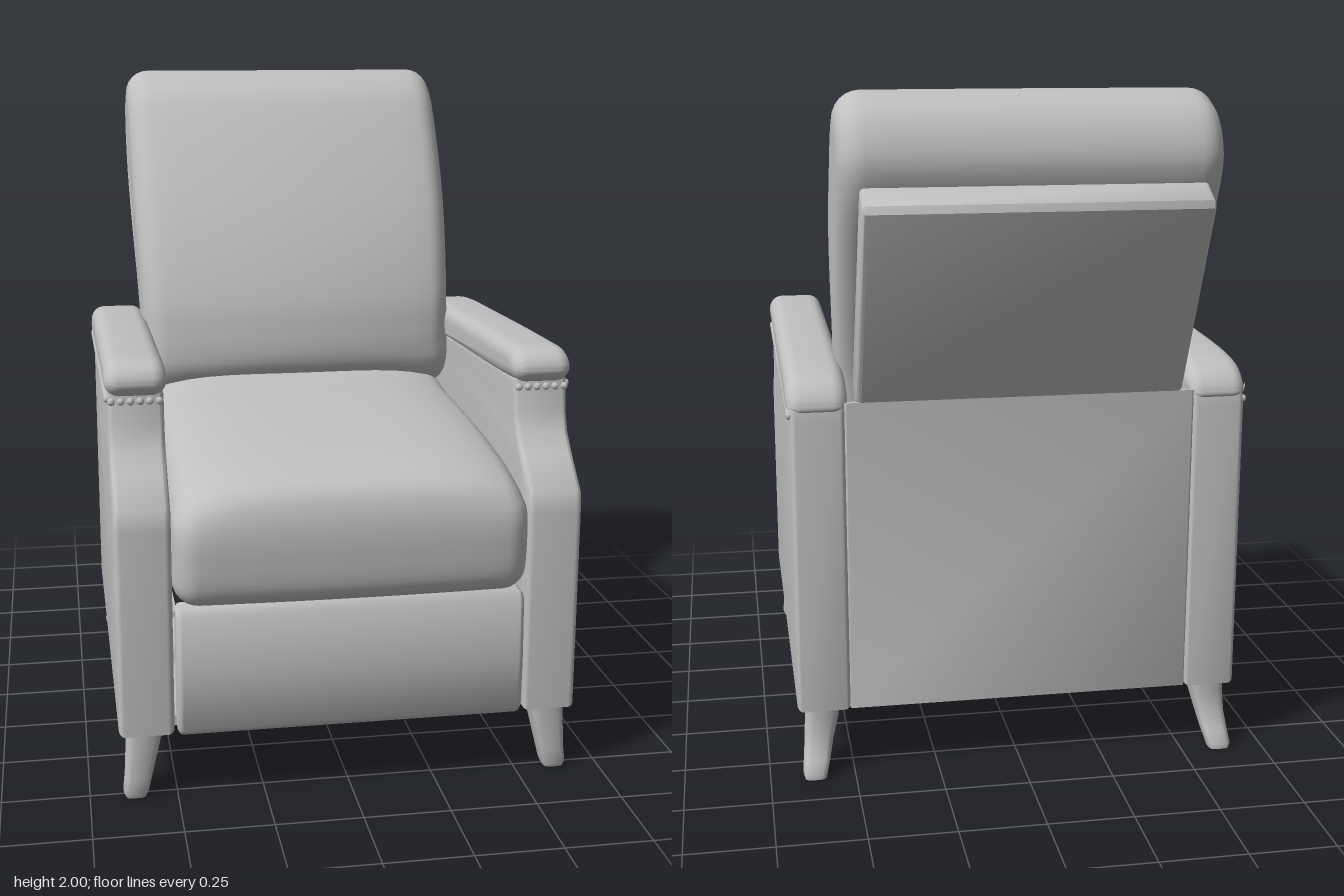
import * as THREE from 'three';
import { mergeGeometries, toCreasedNormals } from 'three/addons/utils/BufferGeometryUtils.js';

const upholstery = new THREE.MeshStandardMaterial({ color: 0xc0c0c0 });
upholstery.name = 'grey upholstery';

function add(parent, name, geometry) {
  const mesh = new THREE.Mesh(geometry, upholstery);
  mesh.name = name;
  parent.add(mesh);
  return mesh;
}

// Extrude a [z, y] side profile across x with rounded edges, then bend it by a rule
function pad(profile, width, bevel, { smooth = 0, steps = 1, rule } = {}) {
  let pts = profile.map(([z, y]) => new THREE.Vector3(z, y, 0));
  if (smooth) pts = new THREE.CatmullRomCurve3(pts, true, 'centripetal').getPoints(smooth).slice(0, -1);
  const shape = new THREE.Shape(pts.map((p) => new THREE.Vector2(p.x, p.y)));
  const depth = width - 2 * bevel;
  const geo = new THREE.ExtrudeGeometry(shape, {
    depth, steps, bevelEnabled: true, bevelThickness: bevel, bevelSize: bevel, bevelOffset: -bevel, bevelSegments: 6,
  });
  geo.translate(0, 0, -depth / 2);
  geo.rotateY(-Math.PI / 2);
  if (rule) {
    const pos = geo.attributes.position;
    const v = new THREE.Vector3();
    for (let i = 0; i < pos.count; i++) {
      v.fromBufferAttribute(pos, i);
      rule(v);
      pos.setXYZ(i, v.x, v.y, v.z);
    }
  }
  return toCreasedNormals(geo, 0.7);
}

// Loft rounded-square sections [y, x, z, halfX, halfZ], listed from top to bottom
function leg(sections, side) {
  const n = 20, pos = [], idx = [];
  const soft = (t) => Math.sign(t) * Math.pow(Math.abs(t), 0.55);
  sections.forEach(([y, x, z, hx, hz]) => {
    for (let i = 0; i < n; i++) {
      const a = (i / n) * Math.PI * 2;
      pos.push(side * x + hx * soft(Math.cos(a)), y, z + hz * soft(Math.sin(a)));
    }
  });
  for (let r = 0; r < sections.length - 1; r++) {
    for (let i = 0; i < n; i++) {
      const a = r * n + i, b = r * n + ((i + 1) % n);
      idx.push(a, b, a + n, b, b + n, a + n);
    }
  }
  const base = (sections.length - 1) * n;
  for (let i = 1; i < n - 1; i++) idx.push(base, base + i, base + i + 1);
  const geo = new THREE.BufferGeometry();
  geo.setAttribute('position', new THREE.Float32BufferAttribute(pos, 3));
  geo.setIndex(idx);
  return toCreasedNormals(geo, 0.8);
}

function bar(parent, name, size, at, tilt = 0) {
  const mesh = add(parent, name, new THREE.BoxGeometry(...size));
  mesh.position.set(...at);
  mesh.rotation.x = tilt;
}

export function createModel() {
  const chair = new THREE.Group();
  chair.name = 'recliner armchair';

  // Seat cushion, crowned across its width
  add(chair, 'seatCushion', pad([
    [0.8, 0.575], [0.86, 0.61], [0.882, 0.72], [0.875, 0.85], [0.84, 0.915], [0.72, 0.96],
    [0.4, 1.0], [0, 1.02], [-0.34, 1.02], [-0.4, 0.8], [-0.34, 0.58], [0.2, 0.575],
  ], 1.01, 0.07, {
    smooth: 72, steps: 14,
    rule: (v) => {
      const e = (v.x / 0.5) ** 2;
      if (v.y > 0.75) v.y -= 0.06 * e * e * Math.min(1, (v.y - 0.75) / 0.15);
      if (v.z > 0.5) v.z -= 0.012 * e;
    },
  }));

  // Leaning back cushion with a full rounded top and bowed front
  add(chair, 'backCushion', pad([
    [-0.09, 1.05], [-0.085, 1.2], [-0.115, 1.33], [-0.21, 1.56], [-0.38, 1.85], [-0.45, 1.935],
    [-0.55, 1.99], [-0.65, 1.993], [-0.75, 1.94], [-0.8, 1.84], [-0.79, 1.75],
    [-0.63, 1.47], [-0.46, 1.18], [-0.38, 1.0], [-0.2, 0.96],
  ], 1.06, 0.075, {
    smooth: 90, steps: 14,
    rule: (v) => {
      const e = (v.x / 0.53) ** 2;
      const front = v.z - (-0.28 - 0.5 * (v.y - 1.2));
      if (front > 0) v.z -= 0.05 * e * Math.min(1, front / 0.15);
      v.x *= 0.965 + 0.035 * THREE.MathUtils.smoothstep(v.y, 1.1, 1.7);
    },
  }));

  // Back panel: leaning upper board and upright lower wall
  add(chair, 'backPanel', pad([
    [-0.785, 1.75], [-0.8, 1.752], [-0.868, 1.712], [-0.875, 1.69], [-0.6, 1.13],
    [-0.5, 1.1], [-0.46, 1.17],
  ], 0.95, 0.015));
  add(chair, 'backWall', pad([
    [-0.6, 1.13], [-0.585, 0.2], [-0.54, 0.2], [-0.54, 1.12],
  ], 1.02, 0.006));

  // Footrest panel under the seat
  add(chair, 'footrestPanel', pad([
    [0.75, 0.2], [0.815, 0.2], [0.832, 0.22], [0.838, 0.38], [0.832, 0.55], [0.815, 0.572], [0.75, 0.572],
  ], 1.0, 0.018));

  const panelProfile = [
    [0.81, 0.2], [0.815, 0.8], [0.808, 0.86], [0.72, 0.945], [0.67, 1.0], [0.645, 1.06], [0.635, 1.16],
    [-0.592, 1.12], [-0.6, 1.08], [-0.592, 0.2],
  ];
  const capProfile = [
    [0.6, 1.14], [0.645, 1.15], [0.665, 1.18], [0.652, 1.215], [0.61, 1.238], [0.5, 1.24], [-0.1, 1.225],
    [-0.44, 1.21], [-0.535, 1.19], [-0.585, 1.15], [-0.598, 1.11], [-0.57, 1.098], [-0.3, 1.108],
  ];

  for (const side of [1, -1]) {
    const arm = new THREE.Group();
    arm.name = side > 0 ? 'leftArm' : 'rightArm';
    chair.add(arm);

    // Side panel and padded cap
    add(arm, 'armPanel', pad(panelProfile, 0.158, 0.018)).position.x = side * 0.586;
    add(arm, 'armCap', pad(capProfile, 0.175, 0.042, { smooth: 70 })).position.x = side * 0.586;

    // Nail heads along the outside and around the front
    const nails = [];
    const nail = (x, y, z) => nails.push(new THREE.SphereGeometry(0.011, 8, 6).translate(x, y, z));
    for (let i = 0; i <= 42; i++) {
      const t = i / 42;
      nail(side * 0.665, 1.135 - 0.04 * t, 0.62 - 1.2 * t);
    }
    for (let i = 0; i < 6; i++) nail(side * (0.52 + i * 0.027), 1.13, 0.64);
    add(arm, 'nailHeads', mergeGeometries(nails));

    // Tapered front leg and sabre back leg
    add(chair, 'frontLeg', leg([
      [0.22, 0.588, 0.743, 0.054, 0.06], [0.15, 0.598, 0.748, 0.047, 0.052],
      [0.06, 0.611, 0.752, 0.039, 0.042], [0.015, 0.619, 0.753, 0.036, 0.039], [0, 0.619, 0.753, 0.03, 0.033],
    ], side));
    add(chair, 'backLeg', leg([
      [0.22, 0.588, -0.525, 0.054, 0.066], [0.16, 0.594, -0.53, 0.048, 0.058],
      [0.1, 0.603, -0.545, 0.042, 0.047], [0.05, 0.611, -0.572, 0.039, 0.04],
      [0.015, 0.618, -0.595, 0.036, 0.036], [0, 0.618, -0.598, 0.032, 0.032],
    ], side));

    // Reclining mechanism beside each arm
    bar(chair, 'mechanismRail', [0.03, 0.06, 1.1], [side * 0.46, 0.27, 0.08]);
    bar(chair, 'linkArm', [0.015, 0.04, 0.45], [side * 0.42, 0.4, 0.42], 0.6);
    bar(chair, 'linkArm', [0.015, 0.04, 0.4], [side * 0.4, 0.4, 0.2], -0.7);
    bar(chair, 'bottomRail', [0.05, 0.03, 1.3], [side * 0.49, 0.215, 0.1]);
  }

  // Cross members below the seat
  bar(chair, 'crossBar', [0.94, 0.08, 0.03], [0, 0.28, 0.15]);
  bar(chair, 'crossBar', [0.94, 0.05, 0.05], [0, 0.36, -0.3]);
  bar(chair, 'centreBar', [0.08, 0.03, 0.66], [0.14, 0.31, -0.18]);
  bar(chair, 'centreBar', [0.08, 0.03, 0.5], [0.14, 0.31, 0.45]);
  bar(chair, 'backRail', [0.98, 0.04, 0.05], [0, 0.22, -0.53]);
  bar(chair, 'frontRail', [0.98, 0.04, 0.05], [0, 0.22, 0.74]);

  return chair;
}
